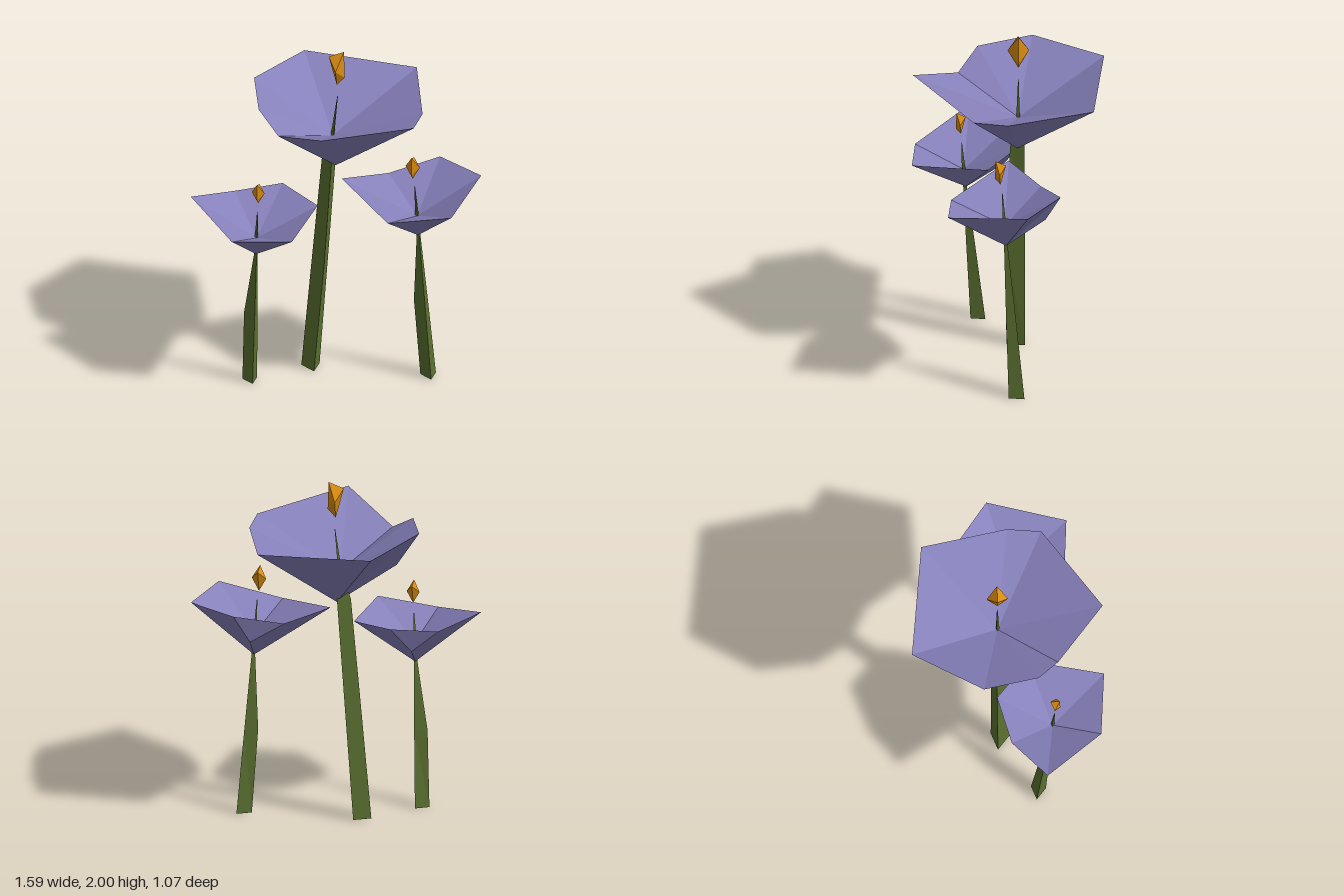
import * as THREE from 'three';

const petalMat = new THREE.MeshStandardMaterial({ color: 0x8781bb, flatShading: true, side: THREE.DoubleSide });
petalMat.name = 'lavender petal';
const stemMat = new THREE.MeshStandardMaterial({ color: 0x5a7030, flatShading: true });
stemMat.name = 'olive stem';
const budMat = new THREE.MeshStandardMaterial({ color: 0xdc8d10, flatShading: true });
budMat.name = 'amber stamen';

// Flat-shaded mesh from a list of triangles, each three [x, y, z] corners
function facetMesh(name, triangles, material) {
  const geometry = new THREE.BufferGeometry();
  geometry.setAttribute('position', new THREE.Float32BufferAttribute(triangles.flat(2), 3));
  geometry.computeVertexNormals();
  const mesh = new THREE.Mesh(geometry, material);
  mesh.name = name;
  return mesh;
}

const mix = (a, b, t) => a.map((v, i) => v + (b[i] - v) * t);

// Faceted bloom: an outer fan from the apex to the rim, with one low knuckle
// pushed out below the last three rim points, and a shallower inner fan
function makeBloom(apex, rim, knuckle, heart) {
  const n = rim.length;
  const tris = [];
  for (let i = 0; i < n; i++) {
    const a = rim[i], b = rim[(i + 1) % n];
    const centre = i === n - 3 || i === n - 2 ? knuckle : apex;
    tris.push([centre, a, b], [heart, b, a]);
  }
  tris.push([apex, rim[n - 3], knuckle], [apex, knuckle, rim[n - 1]]);
  return facetMesh('bloom', tris, petalMat);
}

// Three-sided stem from base through neck to a thin tip; one corner bulges halfway up
function makeStem(base, baseRadius, neck, neckRadius, heart, tip, bulgeCorner) {
  const angles = [-50, 70, 190].map(THREE.MathUtils.degToRad);
  const ring = ([x, y, z], radius, bulge = -1) => angles.map((a, i) => {
    const r = i === bulge ? radius + 0.025 : radius;
    return [x + r * Math.cos(a), y, z + r * Math.sin(a)];
  });
  const loops = [
    ring(base, baseRadius),
    ring(mix(base, neck, 0.53), (baseRadius + neckRadius) / 2, bulgeCorner),
    ring(neck, neckRadius),
    ring(heart, Math.min(neckRadius, 0.012)),
    ring(tip, 0.002),
  ];
  const tris = [[loops[0][0], loops[0][1], loops[0][2]]];
  for (let k = 0; k < loops.length - 1; k++) {
    for (let i = 0; i < 3; i++) {
      const j = (i + 1) % 3;
      const a = loops[k][i], b = loops[k][j], c = loops[k + 1][j], d = loops[k + 1][i];
      tris.push([a, c, b], [a, d, c]);
    }
  }
  return facetMesh('stem', tris, stemMat);
}

// Floating stamen: a leaning octahedron
function makeStamen(position, scale, turn) {
  const top = [0.04, 0.10, 0], bottom = [0, -0.11, 0];
  const ring = [[-0.045, 0.065, 0], [0, 0, 0.06], [0.045, -0.06, 0], [0, 0, -0.06]];
  const tris = [];
  ring.forEach((p, i) => {
    const q = ring[(i + 1) % 4];
    tris.push([top, p, q], [bottom, q, p]);
  });
  const mesh = facetMesh('stamen', tris, budMat);
  mesh.position.set(...position);
  mesh.scale.setScalar(scale);
  mesh.rotation.y = turn;
  return mesh;
}

function makeFlower(name, f) {
  const heart = mix(f.neck, f.tip, 0.39); // centre of the inner fan, on the stem
  const flower = new THREE.Group();
  flower.name = name;
  flower.add(
    makeStem(f.base, f.baseRadius, f.neck, f.neckRadius, heart, f.tip, f.bulgeCorner),
    makeBloom(f.apex, f.rim, f.knuckle, heart),
    makeStamen(f.stamen, f.stamenScale, f.turn),
  );
  return flower;
}

export function createModel() {
  const model = new THREE.Group();
  model.name = 'flowerCluster';
  model.add(makeFlower('tallFlower', {
    apex: [-0.02, 1.285, -0.05],
    rim: [[-0.26, 1.73, -0.54], [0.38, 1.71, -0.46], [0.475, 1.68, 0.02], [0.45, 1.69, 0.21],
      [-0.025, 1.75, 0.53], [-0.30, 1.62, 0.27], [-0.425, 1.72, 0.157], [-0.49, 1.75, -0.15]],
    knuckle: [-0.35, 1.50, 0],
    base: [-0.155, 0.005, -0.05], baseRadius: 0.06, bulgeCorner: 1,
    neck: [-0.055, 1.31, -0.055], neckRadius: 0.046, tip: [-0.01, 1.72, -0.055],
    stamen: [-0.015, 1.90, -0.055], stamenScale: 1, turn: 0,
  }));
  model.add(makeFlower('leftFlower', {
    apex: [0.45, 0.92, 0.03],
    rim: [[0.79, 1.26, -0.08], [0.68, 1.22, 0.36], [0.32, 1.145, 0.33], [0.02, 1.23, 0],
      [0.26, 1.19, -0.17], [0.535, 1.26, -0.27]],
    knuckle: [0.45, 1.08, -0.19],
    base: [0.505, 0.005, -0.03], baseRadius: 0.051, bulgeCorner: 2,
    neck: [0.455, 0.92, 0.03], neckRadius: 0.012, tip: [0.435, 1.24, 0.05],
    stamen: [0.425, 1.365, 0.06], stamenScale: 0.68, turn: -1.71,
  }));
  model.add(makeFlower('rightFlower', {
    apex: [-0.43, 0.84, 0.22],
    rim: [[-0.10, 1.11, 0.11], [-0.19, 1.10, 0.53], [-0.53, 1.06, 0.50], [-0.80, 1.16, 0.19],
      [-0.58, 1.11, 0], [-0.32, 1.14, -0.07]],
    knuckle: [-0.43, 0.98, 0.01],
    base: [-0.47, 0.005, 0.15], baseRadius: 0.048, bulgeCorner: 2,
    neck: [-0.43, 0.84, 0.225], neckRadius: 0.012, tip: [-0.42, 1.12, 0.245],
    stamen: [-0.415, 1.245, 0.25], stamenScale: 0.61, turn: -1.71,
  }));
  return model;
}
